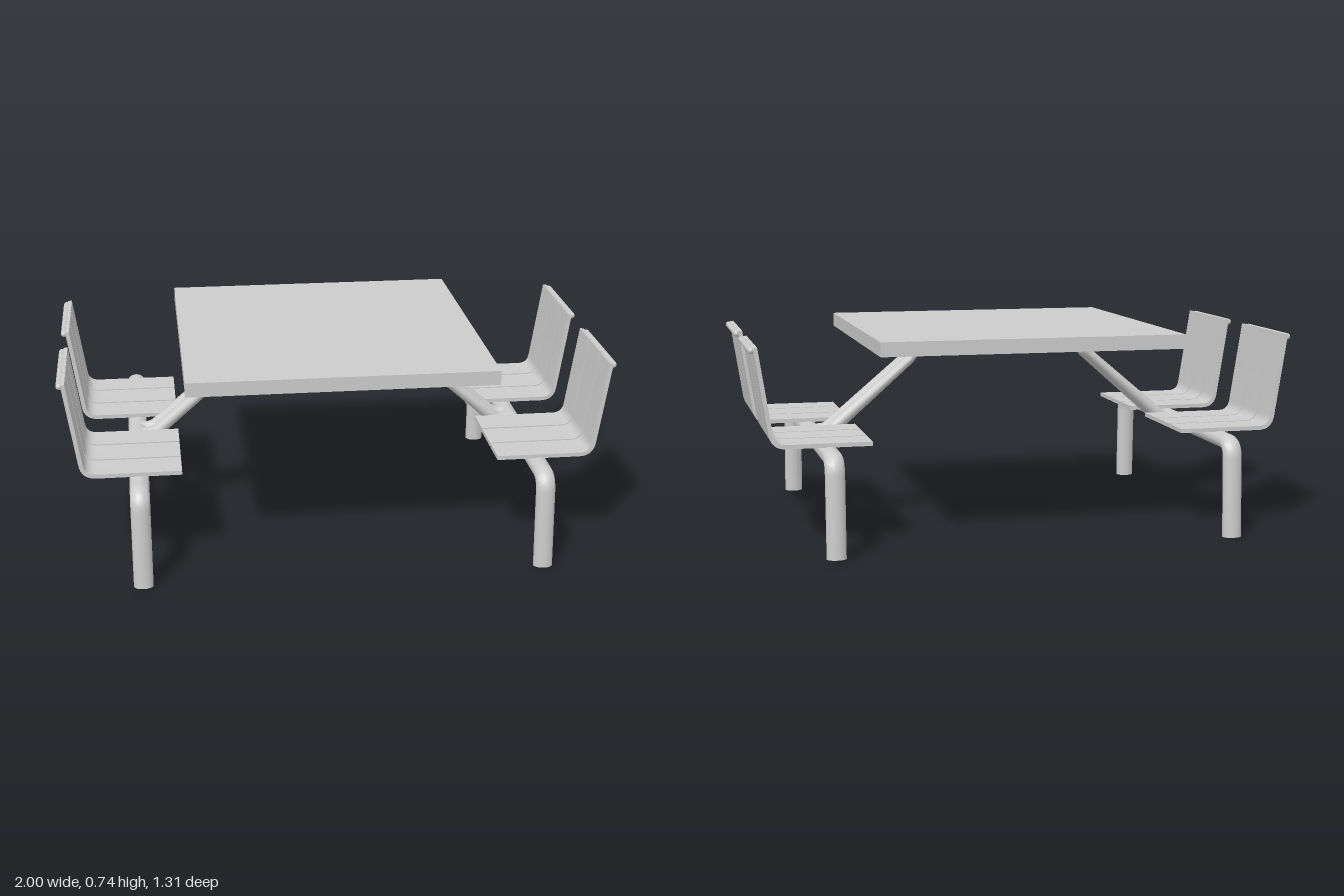
import * as THREE from 'three';
import { toCreasedNormals } from 'three/addons/utils/BufferGeometryUtils.js';

const V = (x, y, z = 0) => new THREE.Vector3(x, y, z);
const material = new THREE.MeshStandardMaterial({ color: 0xcccccc });

function part(name, geometry) {
  const mesh = new THREE.Mesh(geometry, material);
  mesh.name = name;
  return mesh;
}

// Polyline with its inner corners replaced by smooth bends
function bend(points, radius, steps = 8) {
  const out = [points[0]];
  for (let i = 1; i < points.length - 1; i++) {
    const p = points[i];
    const towards = (q) => p.clone().add(q.clone().sub(p).setLength(radius));
    const curve = new THREE.QuadraticBezierCurve3(towards(points[i - 1]), p, towards(points[i + 1]));
    out.push(...curve.getPoints(steps));
  }
  out.push(points[points.length - 1]);
  return out;
}

const tangentAt = (path, i) =>
  path[Math.min(i + 1, path.length - 1)].clone().sub(path[Math.max(i - 1, 0)]).normalize();

// Closed oval tube along a path; size(t) gives [in-plane, sideways] half widths
function sweep(path, sideways, size, sides = 24) {
  const position = [], index = [];
  path.forEach((p, i) => {
    const normal = sideways.clone().cross(tangentAt(path, i)).normalize();
    const [a, b] = size(i / (path.length - 1), p);
    for (let j = 0; j < sides; j++) {
      const angle = (j / sides) * Math.PI * 2;
      const v = p.clone().addScaledVector(normal, a * Math.cos(angle))
        .addScaledVector(sideways, b * Math.sin(angle));
      position.push(v.x, v.y, v.z);
    }
  });
  const last = (path.length - 1) * sides;
  const start = path.length * sides, end = start + 1;
  for (const p of [path[0], path[path.length - 1]]) position.push(p.x, p.y, p.z);
  for (let j = 0; j < sides; j++) {
    const k = (j + 1) % sides;
    for (let r = 0; r < last; r += sides) {
      index.push(r + j, r + k, r + sides + j, r + k, r + sides + k, r + sides + j);
    }
    index.push(start, k, j, end, last + j, last + k);
  }
  // Keep the faces outward: normal x sideways must follow the path
  const n = sideways.clone().cross(tangentAt(path, 0));
  if (n.cross(sideways).dot(tangentAt(path, 0)) < 0) index.reverse();
  const geometry = new THREE.BufferGeometry();
  geometry.setAttribute('position', new THREE.Float32BufferAttribute(position, 3));
  geometry.setIndex(index);
  return toCreasedNormals(geometry, 0.8);
}

// L-shaped slat profile of even thickness, extruded to the slat width
function slatGeometry(width) {
  const path = bend([V(0.572, 0.375), V(0.922, 0.375), V(0.976, 0.723)], 0.045);
  const edge = (offset) => path.map((p, i) => {
    const t = tangentAt(path, i);
    return new THREE.Vector2(p.x - t.y * offset, p.y + t.x * offset);
  });
  const shape = new THREE.Shape([...edge(-0.0075), ...edge(0.0075).reverse()]);
  const geometry = new THREE.ExtrudeGeometry(shape, { depth: width, bevelEnabled: false });
  return toCreasedNormals(geometry, 0.6);
}

function createSeat() {
  const seat = new THREE.Group();
  seat.name = 'seat';
  for (const [from, to] of [[0.088, 0.218], [0.227, 0.364], [0.373, 0.498]]) {
    const slat = part('seatSlat', slatGeometry(to - from));
    slat.position.z = from;
    seat.add(slat);
  }
  // Rod joining the slats behind the top of the backrest
  const rod = part('backrestRod', new THREE.CapsuleGeometry(0.012, 0.37, 6, 16));
  rod.rotation.x = Math.PI / 2;
  rod.position.set(0.988, 0.712, 0.293);
  seat.add(rod);
  return seat;
}

function createBench() {
  const bench = new THREE.Group();
  bench.name = 'bench';

  // Bent tube forming both legs and the rail
  const framePath = bend([
    V(0.725, 0, 0.628), V(0.725, 0.3425, 0.616), V(0.725, 0.3425, -0.616), V(0.725, 0, -0.628),
  ], 0.055, 12);
  bench.add(part('legFrame', sweep(framePath, V(1, 0, 0), () => [0.0275, 0.035])));

  for (const side of [1, -1]) {
    // Support arm rising from the rail to the table top
    const armPath = bend([
      V(0.725, 0.345, side * 0.032), V(0.668, 0.345, side * 0.033),
      V(0.338, 0.63, side * 0.039), V(0.338, 0.69, side * 0.04),
    ], 0.025);
    const armSize = (t, p) => {
      const rise = (p.y - 0.345) / 0.345;
      return [0.025 - 0.008 * rise, 0.028 + 0.007 * rise];
    };
    bench.add(part('supportArm', sweep(armPath, V(0, 0, 1), armSize)));

    // The seat is symmetric about its own middle, so it is shifted across
    const seat = createSeat();
    if (side < 0) seat.position.z = -0.586;
    bench.add(seat);
  }
  return bench;
}

export function createModel() {
  const model = new THREE.Group();
  model.name = 'picnicTable';

  const top = part('tableTop', new THREE.BoxGeometry(1.11, 0.052, 1.15));
  top.position.y = 0.714;
  model.add(top);

  // Two benches facing each other
  for (const turn of [0, Math.PI]) {
    const bench = createBench();
    bench.rotation.y = turn;
    model.add(bench);
  }
  return model;
}
